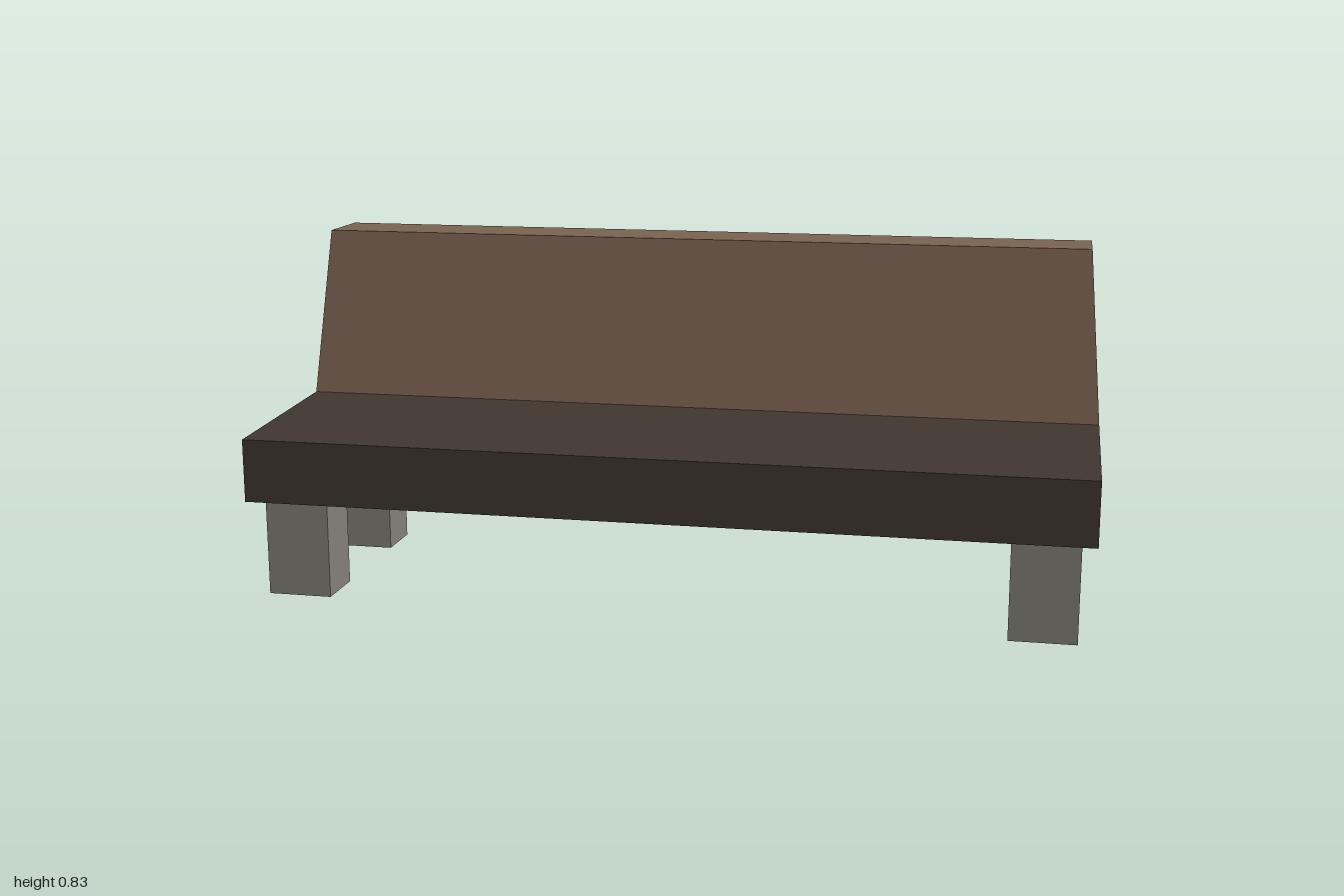
import * as THREE from 'three';

const material = (name, color) => {
  const m = new THREE.MeshStandardMaterial({ color });
  m.name = name;
  return m;
};

export function createModel() {
  const bench = new THREE.Group();
  bench.name = 'bench';
  const darkWood = material('dark wood', 0x40372f);
  const brownWood = material('brown wood', 0x7a6250);
  const stone = material('grey stone', 0x827f76);

  const add = (name, geometry, mat) => {
    const mesh = new THREE.Mesh(geometry, mat);
    mesh.name = name;
    bench.add(mesh);
  };

  // Seat: side profile (z, y) swept along x, its top rising towards the backrest
  const profile = new THREE.Shape([
    [0.35, 0.24], [0.35, 0.393], [-0.115, 0.414], [-0.282, 0.414], [-0.282, 0.24],
  ].map(([z, y]) => new THREE.Vector2(z, y)));
  const seat = new THREE.ExtrudeGeometry(profile, { depth: 2, bevelEnabled: false });
  seat.translate(0, 0, -1).rotateY(-Math.PI / 2);
  add('seat', seat, darkWood);

  // Backrest: leans back and narrows slightly towards the top
  const height = 0.416;
  const back = new THREE.BoxGeometry(2, height, 0.167);
  back.translate(0, height / 2, -0.1985);
  const pos = back.attributes.position;
  for (let i = 0; i < pos.count; i++) {
    const t = pos.getY(i) / height;
    pos.setX(i, pos.getX(i) * (1 - 0.034 * t));
    pos.setZ(i, pos.getZ(i) - 0.066 * t);
  }
  back.translate(0, 0.414, 0);
  back.computeVertexNormals();
  add('backrest', back, brownWood);

  // Four block legs
  const leg = new THREE.BoxGeometry(0.156, 0.24, 0.129);
  for (const [side, x] of [['left', 0.888], ['right', -0.888]]) {
    for (const [end, z] of [['Front', 0.244], ['Back', -0.18]]) {
      add(`${side}${end}Leg`, leg.clone().translate(x, 0.12, z), stone);
    }
  }
  return bench;
}
